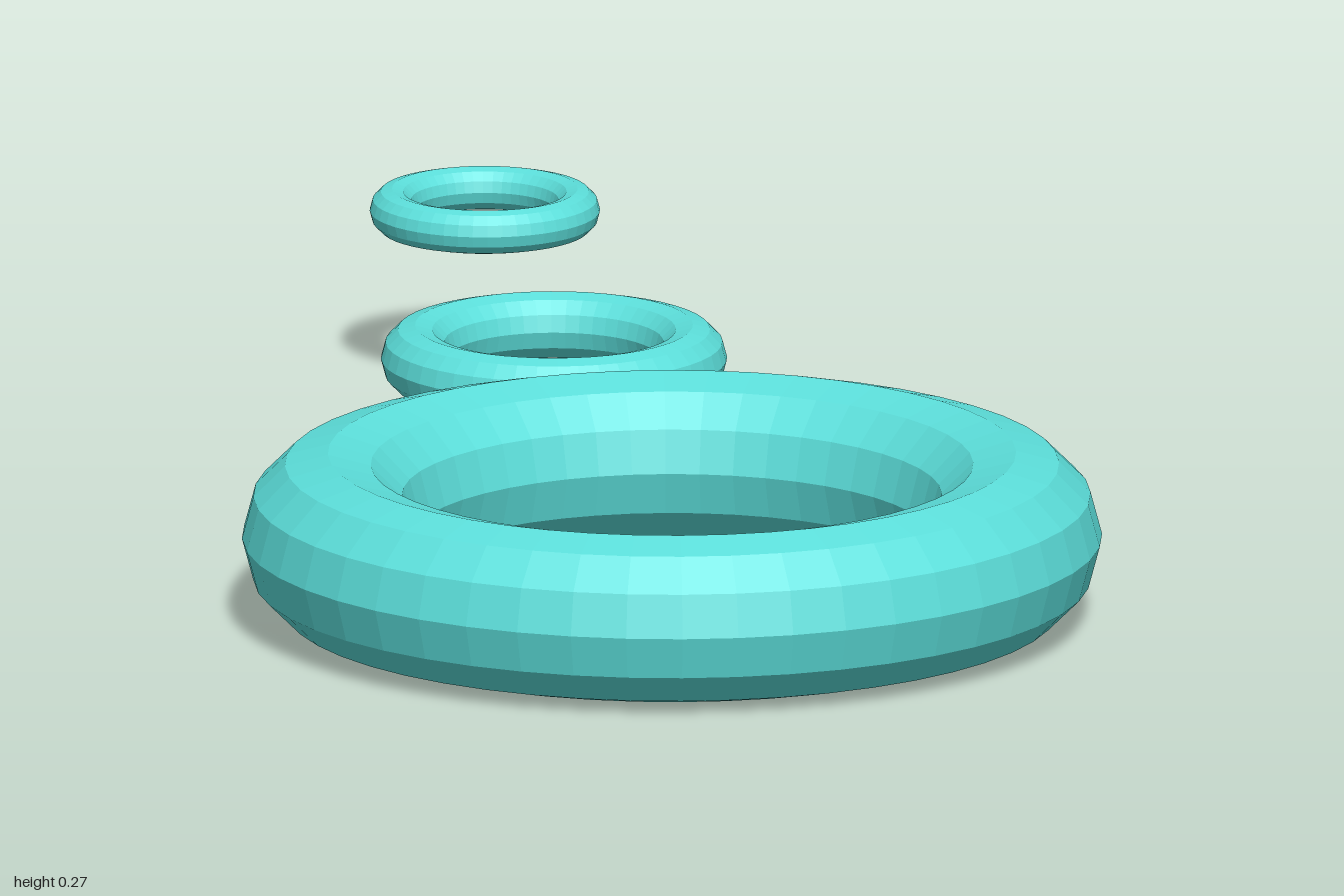
import * as THREE from 'three';

export function createModel() {
  const group = new THREE.Group();
  const material = new THREE.MeshStandardMaterial({ color: 0x5cdfdb, flatShading: true });

  // Three level rings, shrinking and rising in steps towards the back
  const rings = [
    { name: 'largeRing', radius: 0.493, tube: 0.123, position: [-0.22, 0.123, 0.38] },
    { name: 'mediumRing', radius: 0.199, tube: 0.049, position: [0.357, 0.149, -0.403] },
    { name: 'smallRing', radius: 0.133, tube: 0.032, position: [0.667, 0.238, -0.835] },
  ];

  for (const { name, radius, tube, position } of rings) {
    const geometry = new THREE.TorusGeometry(radius, tube, 12, 48);
    geometry.rotateX(-Math.PI / 2);
    const ring = new THREE.Mesh(geometry, material);
    ring.name = name;
    ring.position.set(...position);
    group.add(ring);
  }
  return group;
}
